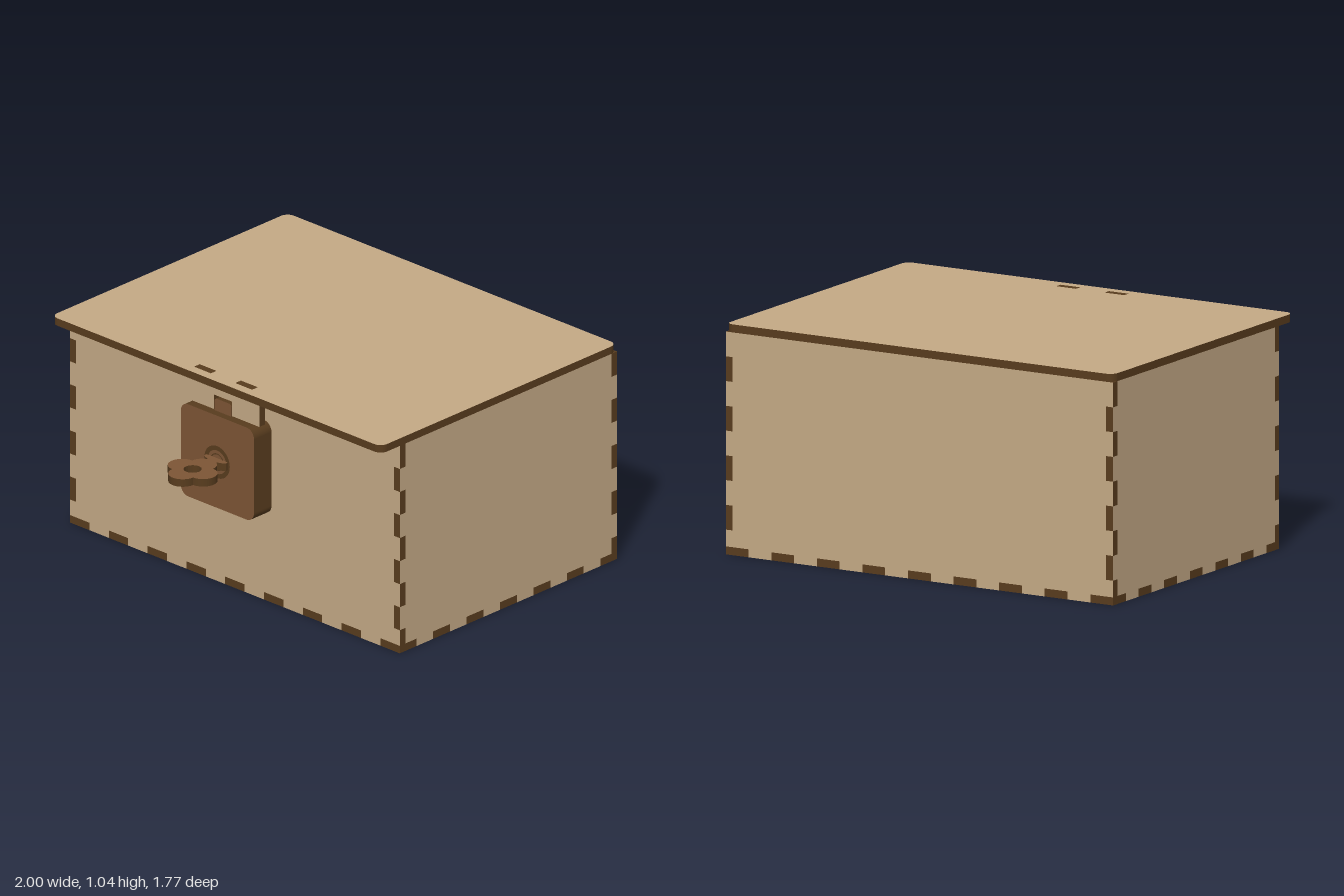
import * as THREE from 'three';

const T = 0.036;             // sheet thickness
const W = 2, H = 1, D = 1.38; // box size
const ZC = -0.2;             // box centre in z

const mat = (name, color) => {
  const m = new THREE.MeshStandardMaterial({ color });
  m.name = name;
  return m;
};

// Outline with finger joints. Each edge is [segments, first inset parity], in order bottom, right, top, left.
function fingerShape(w, h, edges) {
  const corners = [[-w / 2, 0], [w / 2, 0], [w / 2, h], [-w / 2, h]];
  const dirs = [[1, 0], [0, 1], [-1, 0], [0, -1]];
  const inset = ([n, parity], i) => (n > 1 && i % 2 === parity ? T : 0);
  const pts = [];
  for (let e = 0; e < 4; e++) {
    const n = edges[e][0], len = e % 2 ? h : w;
    const prev = edges[(e + 3) % 4], next = edges[(e + 1) % 4];
    const [dx, dy] = dirs[e], [cx, cy] = corners[e];
    const put = (s, k) => pts.push(new THREE.Vector2(cx + dx * s - dy * k, cy + dy * s + dx * k));
    for (let i = 0; i < n; i++) {
      const k = inset(edges[e], i);
      put(i === 0 ? inset(prev, prev[0] - 1) : i * len / n, k);
      // the last corner is written by the next edge
      if (i < n - 1) put((i + 1) * len / n, k);
    }
  }
  return new THREE.Shape(pts);
}

function roundedShape(w, h, r) {
  const s = new THREE.Shape(), x = w / 2, y = h / 2;
  s.absarc(x - r, y - r, r, 0, Math.PI / 2);
  s.absarc(-x + r, y - r, r, Math.PI / 2, Math.PI);
  s.absarc(-x + r, -y + r, r, Math.PI, Math.PI * 1.5);
  s.absarc(x - r, -y + r, r, Math.PI * 1.5, Math.PI * 2);
  s.closePath();
  return s;
}

const polygon = (pts) => new THREE.Shape(pts.map(([x, y]) => new THREE.Vector2(x, y)));

export function createModel() {
  const wood = mat('light wood', 0xc4a985);
  const edge = mat('burnt edge', 0x583c1e);
  const dark = mat('brown wood', 0x7d5535);
  const box = [wood, edge], lock = [dark, edge];
  const model = new THREE.Group();

  const plate = (name, shape, mats, depth, pos, rot = [0, 0, 0], parent = model) => {
    const g = new THREE.ExtrudeGeometry(shape, { depth, bevelEnabled: false, curveSegments: 12 });
    const mesh = new THREE.Mesh(g, mats);
    mesh.name = name;
    mesh.position.set(...pos);
    mesh.rotation.set(...rot);
    parent.add(mesh);
    return mesh;
  };

  // Box walls and floor
  const wall = fingerShape(W, H, [[17, 0], [9, 1], [1, 0], [9, 1]]);
  const side = fingerShape(D, H, [[13, 0], [9, 0], [1, 0], [9, 0]]);
  const floor = fingerShape(W, D, [[17, 1], [13, 1], [17, 1], [13, 1]]);
  plate('frontPanel', wall, box, T, [0, 0, ZC + D / 2 - T]);
  plate('backPanel', wall, box, T, [0, 0, ZC - D / 2]);
  plate('leftPanel', side, box, T, [1 - T, 0, ZC], [0, Math.PI / 2, 0]);
  plate('rightPanel', side, box, T, [-1, 0, ZC], [0, Math.PI / 2, 0]);
  plate('bottomPanel', floor, box, T, [0, 0, ZC + D / 2], [-Math.PI / 2, 0, 0]);

  // Lid with two slots for the hasp tabs
  const lidZ = -0.14;
  const lid = roundedShape(W, 1.5, 0.04);
  const slotY = lidZ - 0.547;
  for (const x of [-0.125, 0.125]) {
    lid.holes.push(new THREE.Path([[-1, -1], [-1, 1], [1, 1], [1, -1]].map(
      ([a, b]) => new THREE.Vector2(x + a * 0.051, slotY + b * T / 2))));
  }
  plate('lid', lid, box, T, [0, H, lidZ], [-Math.PI / 2, 0, 0]);

  // Hasp hanging from the lid, with a notch for the bolt
  const hasp = polygon([
    [-0.22, 0.87], [-0.055, 0.87], [-0.055, 0.94], [0.055, 0.94], [0.055, 0.87], [0.22, 0.87],
    [0.22, H], [0.175, H], [0.175, H + T], [0.075, H + T], [0.075, H],
    [-0.075, H], [-0.075, H + T], [-0.175, H + T], [-0.175, H], [-0.22, H]]);
  plate('hasp', hasp, box, T, [0, 0, 0.529]);

  // Lock body, bolt and keyhole
  const lockGroup = new THREE.Group();
  lockGroup.name = 'lock';
  model.add(lockGroup);
  plate('lockBody', roundedShape(0.444, 0.444, 0.045), lock, 0.111, [0, 0.644, 0.49], [0, 0, 0], lockGroup);
  plate('bolt', polygon([[-0.052, 0.85], [0.052, 0.85], [0.052, 0.915], [0.042, 0.925], [-0.042, 0.925], [-0.052, 0.915]]),
    lock, T, [0, 0, 0.529], [0, 0, 0], lockGroup);
  for (const [inner, outer] of [[0.056, 0.077], [0.036, 0.041]]) {
    const ring = new THREE.Mesh(new THREE.RingGeometry(inner, outer, 40), edge);
    ring.name = 'keyholeRing';
    ring.position.set(0, 0.644, 0.603);
    lockGroup.add(ring);
  }

  // Key with a four-lobed handle
  const key = new THREE.Group();
  key.name = 'key';
  key.position.set(0, 0.662, 0.758);
  model.add(key);
  const r = 0.0635, handle = new THREE.Shape();
  for (let i = 0; i < 4; i++) {
    const a = i * Math.PI / 2;
    handle.absarc(r * Math.cos(a), r * Math.sin(a), r, a - Math.PI / 2, a + Math.PI / 2);
  }
  const hole = new THREE.Path();
  hole.absarc(0, 0, 0.04, 0, Math.PI * 2, true);
  handle.holes.push(hole);
  plate('keyHandle', handle, lock, T, [0, 0, 0], [Math.PI / 2, 0, 0], key);
  plate('keyStem', polygon([[-0.065, -0.158], [0.065, -0.158], [0.065, -0.143], [0.052, -0.132],
    [0.02, -0.12], [-0.02, -0.12], [-0.052, -0.132], [-0.065, -0.143]]),
    lock, T, [0, 0, 0], [Math.PI / 2, 0, 0], key);

  return model;
}
